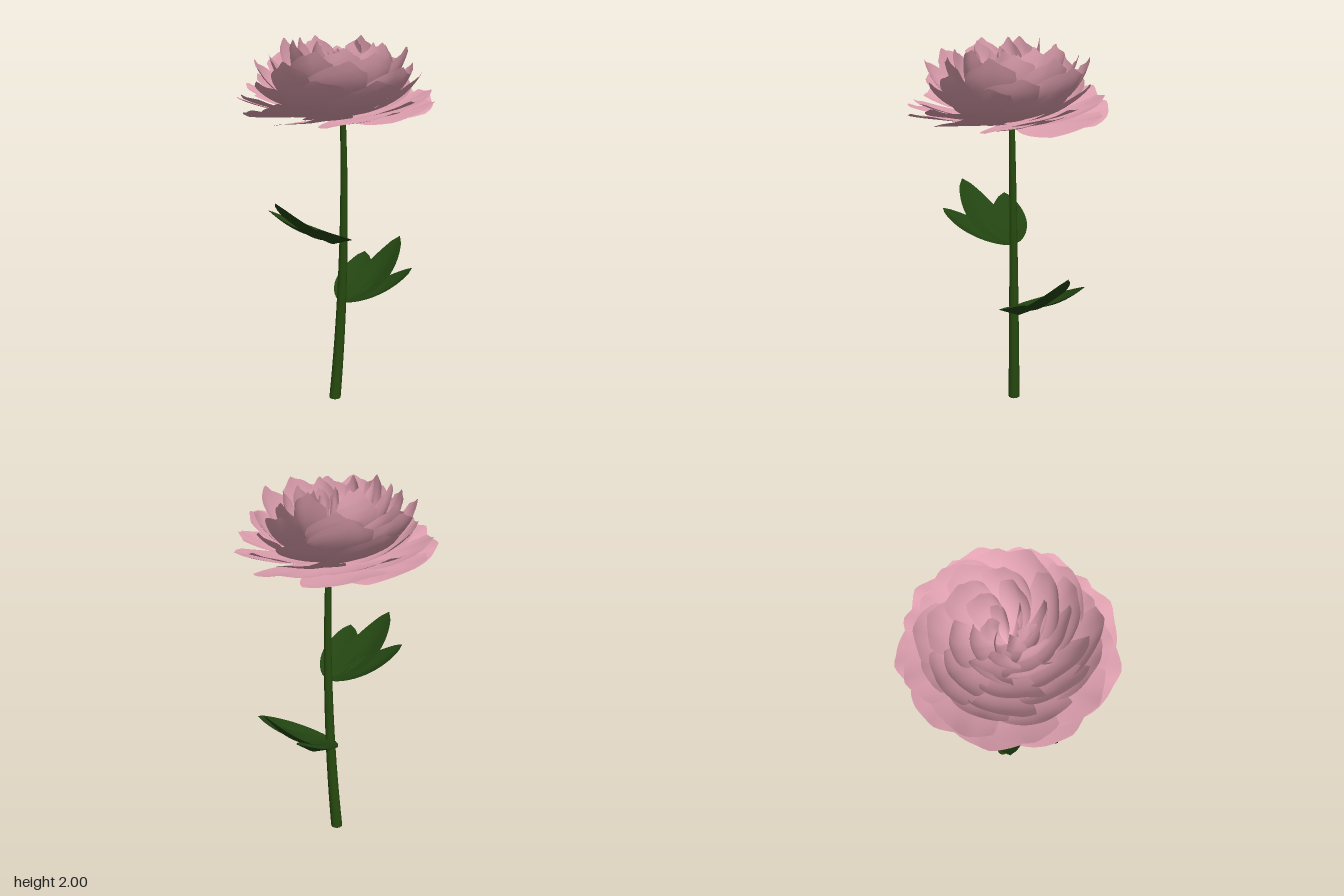
import * as THREE from 'three';

const petalMat = new THREE.MeshStandardMaterial({ color: 0xe3a3b3, side: THREE.DoubleSide });
petalMat.name = 'petal pink';
const stemMat = new THREE.MeshStandardMaterial({ color: 0x274a0f });
stemMat.name = 'stem green';
const leafMat = new THREE.MeshStandardMaterial({ color: 0x224411, side: THREE.DoubleSide });
leafMat.name = 'leaf green';

const stemX = y => -0.003 + 0.0825 * y - 0.0365 * y * y;
const stemZ = y => -0.033 + 0.0123 * y;
const bez = (a, b, c, t) => (1 - t) * (1 - t) * a + 2 * t * (1 - t) * b + t * t * c;

// Small repeatable variation in -1..1
let seed = 7;
const vary = () => {
  seed = (seed * 16807) % 2147483647;
  return (seed / 2147483647) * 2 - 1;
};

// Curved sheet: point(u, v) with u across in -1..1 and v along in 0..1
function sheet(nu, nv, point) {
  const g = new THREE.PlaneGeometry(2, 1, nu, nv);
  const p = g.attributes.position;
  for (let i = 0; i < p.count; i++) p.setXYZ(i, ...point(p.getX(i), p.getY(i) + 0.5));
  g.computeVertexNormals();
  return g;
}

// One petal: a radial curve swept round the flower's axis, rolled over its neighbour
function petal(layer, angle) {
  const { r, y, rc, yc, half, roll, lift } = layer;
  const size = 1 + vary() * 0.03, dy = vary() * 0.02, phase = vary() * 3;
  const tipU = 0.3 + vary() * 0.2;
  return sheet(14, 12, (u, v) => {
    const tip = Math.max(0, 1 - Math.abs(u - tipU) * 3);
    const t = v * (0.98 - 0.1 * u * u + 0.035 * tip);
    const a = angle + half * u * (0.75 + 0.25 * Math.sin(v * Math.PI)) + 0.2 * v;
    const wave = 0.004 * Math.sin(4 * u + phase) * v * v;
    const rad = bez(0, rc, r, t) * size * (1 + roll * u * v) + wave;
    const h = bez(1.615, yc, y + dy, t) + lift * u * v + wave + 0.01 * tip * v * v;
    const base = 0.035 * (1 - v) * (1 - v);
    return [base + rad * Math.sin(a), h, rad * Math.cos(a)];
  });
}

// One leaflet: an ovate, slightly folded blade that sweeps up to its tip
function leaflet(base, tip, width) {
  const d = new THREE.Vector3().subVectors(tip, base);
  const side = new THREE.Vector3(-d.z, 0, d.x).normalize();
  const mid = base.clone().addScaledVector(d, 0.55);
  mid.y = base.y + 0.03;
  return sheet(6, 14, (u, v) => {
    const w = width * Math.pow(Math.sin(Math.PI * Math.pow(v, 0.92)), 0.65) * u;
    const fold = 0.035 * (Math.abs(u) - 0.6) * Math.sin(Math.PI * v);
    return [
      bez(base.x, mid.x, tip.x, v) + side.x * w,
      bez(base.y, mid.y, tip.y, v) + fold,
      bez(base.z, mid.z, tip.z, v) + side.z * w,
    ];
  });
}

export function createModel() {
  const model = new THREE.Group();
  model.name = 'flower';
  const add = (parent, name, geo, mat) => {
    const m = new THREE.Mesh(geo, mat);
    m.name = name;
    parent.add(m);
  };

  // Tapered, gently bowed stem
  const stem = new THREE.CylinderGeometry(0.015, 0.032, 1.61, 14, 16);
  stem.translate(0, 0.805, 0);
  const p = stem.attributes.position;
  for (let i = 0; i < p.count; i++) {
    const y = p.getY(i);
    p.setX(i, p.getX(i) + stemX(y));
    p.setZ(i, p.getZ(i) + stemZ(y));
  }
  stem.computeVertexNormals();
  add(model, 'stem', stem, stemMat);

  // Two sprays of three leaflets
  const sprays = [
    { name: 'lowerLeaf', y: 0.575, tips: [[0.415, 0.87, -0.24], [0.24, 0.75, -0.37], [0.425, 0.75, -0.01]] },
    { name: 'upperLeaf', y: 0.935, tips: [[-0.35, 1.205, 0.21], [-0.16, 1.095, 0.335], [-0.36, 1.11, -0.03]] },
  ];
  for (const s of sprays) {
    const leaf = new THREE.Group();
    leaf.name = s.name;
    const base = new THREE.Vector3(stemX(s.y), s.y, stemZ(s.y));
    s.tips.forEach((t, i) =>
      add(leaf, 'leaflet' + (i + 1), leaflet(base, new THREE.Vector3(...t), i ? 0.1 : 0.11), leafMat));
    model.add(leaf);
  }

  // Petal rings, from the flat outer skirt to the tight heart
  const layers = [
    { name: 'outerPetals', n: 9, r: 0.515, y: 1.665, rc: 0.28, yc: 1.585, half: 0.58, roll: 0.02, lift: 0.035 },
    { name: 'skirtPetals', n: 9, r: 0.485, y: 1.715, rc: 0.28, yc: 1.6, half: 0.55, roll: 0.03, lift: 0.03 },
    { name: 'lowerPetals', n: 8, r: 0.42, y: 1.8, rc: 0.31, yc: 1.62, half: 0.55, roll: 0.04, lift: 0.025 },
    { name: 'middlePetals', n: 8, r: 0.395, y: 1.875, rc: 0.33, yc: 1.65, half: 0.52, roll: 0.06, lift: 0.02 },
    { name: 'upperPetals', n: 7, r: 0.34, y: 1.92, rc: 0.29, yc: 1.67, half: 0.55, roll: 0.08, lift: 0.02 },
    { name: 'cupPetals', n: 7, r: 0.26, y: 1.965, rc: 0.26, yc: 1.7, half: 0.55, roll: 0.1, lift: 0.015 },
    { name: 'innerPetals', n: 6, r: 0.17, y: 1.975, rc: 0.2, yc: 1.72, half: 0.52, roll: 0.18, lift: 0.01 },
    { name: 'heartPetals', n: 6, r: 0.08, y: 1.94, rc: 0.12, yc: 1.72, half: 0.4, roll: 0.45, lift: 0 },
  ];
  layers.forEach((layer, k) => {
    const ring = new THREE.Group();
    ring.name = layer.name;
    for (let i = 0; i < layer.n; i++) {
      const angle = ((i + 0.5 * (k % 2) + vary() * 0.08) / layer.n) * Math.PI * 2;
      add(ring, 'petal' + (i + 1), petal(layer, angle), petalMat);
    }
    model.add(ring);
  });
  return model;
}
